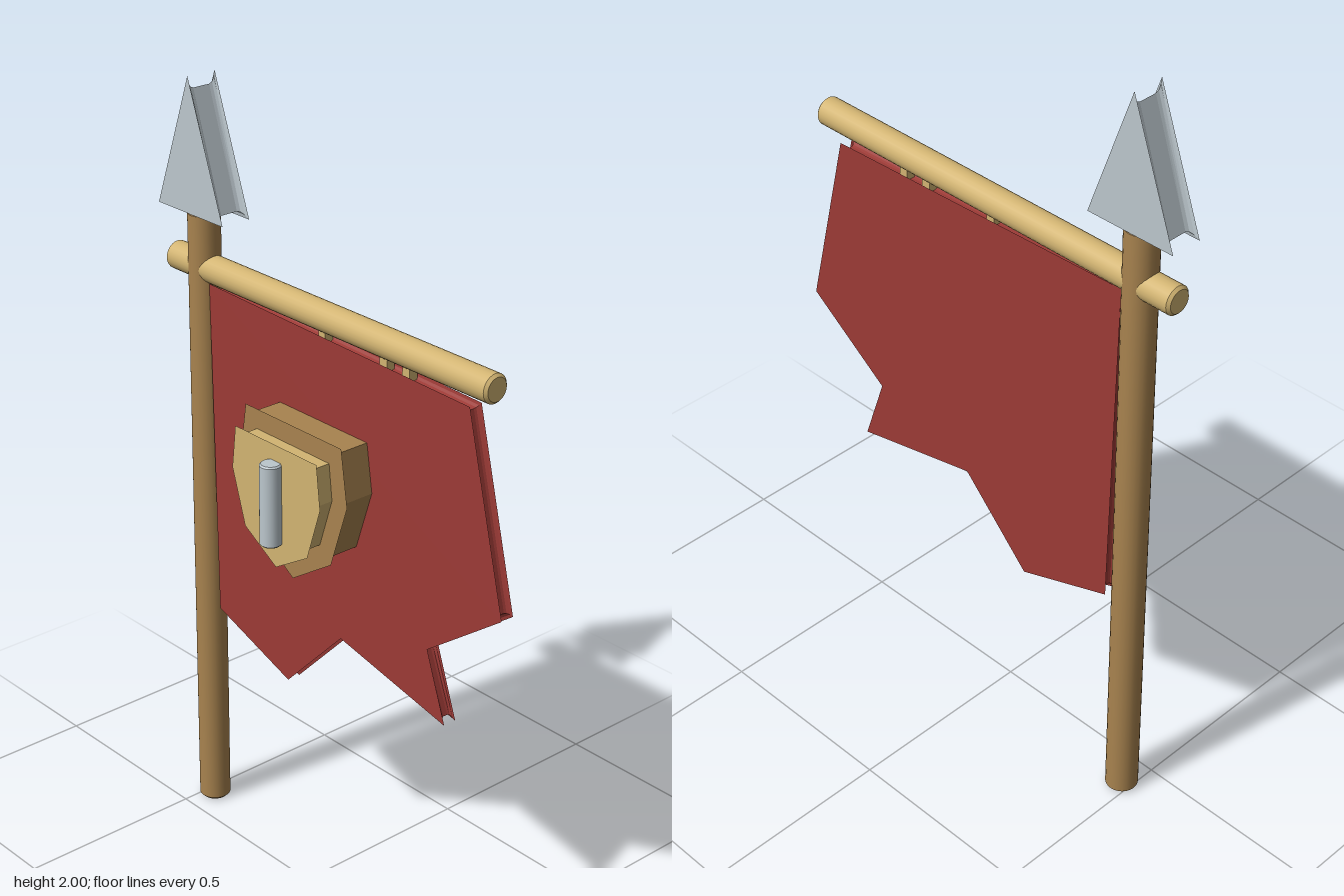
import * as THREE from 'three';

const mat = (name, color) => {
  const m = new THREE.MeshStandardMaterial({ color });
  m.name = name;
  return m;
};

export function createModel() {
  const group = new THREE.Group();
  const cloth = mat('red cloth', 0x9c3a36);
  const wood = mat('brown wood', 0xa8834f);
  const paleWood = mat('pale wood', 0xd2b472);
  const steel = mat('pale steel', 0xbcc7cd);
  const Z = -0.082; // plane of the pole, rod and cloth

  const add = (name, geometry, material, x, y, z) => {
    const mesh = new THREE.Mesh(geometry, material);
    mesh.name = name;
    mesh.position.set(x, y, z);
    group.add(mesh);
    return mesh;
  };

  // Plate from an outline whose rim flares out towards both faces
  const plate = (name, points, material, back, front, inset, rim) => {
    const shape = new THREE.Shape(points.map(([x, y]) => new THREE.Vector2(x, y)));
    const geometry = new THREE.ExtrudeGeometry(shape, {
      depth: front - back - 2 * rim, bevelEnabled: true,
      bevelThickness: rim, bevelSize: -inset, bevelSegments: 3,
    });
    return add(name, geometry, material, 0, 0, back + rim);
  };

  // Round bar with softened ends, standing along y
  const bar = (radius, length, soft) => {
    const h = length / 2;
    return new THREE.LatheGeometry([
      [0, -h], [radius - soft, -h], [radius - soft, -h], [radius, -h + soft], [radius, -h + soft],
      [radius, h - soft], [radius, h - soft], [radius - soft, h], [radius - soft, h], [0, h],
    ].map(([x, y]) => new THREE.Vector2(x, y)), 24);
  };

  // Upright pole and crossbar
  add('pole', bar(0.041, 1.665, 0.008), wood, -0.474, 0.8325, Z);
  add('crossbar', bar(0.036, 1.115, 0.007), paleWood, -0.028, 1.52, Z).rotation.z = -Math.PI / 2;

  // Spearhead
  plate('spearhead', [[-0.597, 1.66], [-0.353, 1.66], [-0.475, 2]], steel, Z - 0.041, Z + 0.041, 0.022, 0.017);

  // Torn banner cloth
  plate('banner', [
    [-0.436, 1.488], [-0.416, 0.6], [-0.147, 0.504], [0.05, 0.707],
    [0.416, 0.627], [0.352, 0.806], [0.588, 0.978], [0.466, 1.463],
  ], cloth, Z - 0.018, Z + 0.018, 0.015, 0.012);

  // Small ties holding the cloth to the crossbar
  for (const x of [-0.03, 0.18, 0.255]) {
    add('tie', new THREE.BoxGeometry(0.024, 0.045, 0.024), paleWood, x, 1.478, Z);
  }

  // Shield in two layers, mirrored about its centre line
  const shield = (name, top, side, low, bottom, material, back, front) => {
    const half = [top, side, low];
    const cx = -0.019;
    plate(name, [
      ...half.map(([x, y]) => [cx - x, y]), [cx, bottom],
      ...half.reverse().map(([x, y]) => [cx + x, y]),
    ], material, back, front, 0.018, 0.016);
  };
  shield('shieldBase', [0.17, 1.28], [0.192, 1.137], [0.137, 0.968], 0.879, wood, -0.09, 0.03);
  shield('shieldFace', [0.145, 1.247], [0.158, 1.135], [0.113, 0.995], 0.927, paleWood, -0.01, 0.083);

  // Upright steel pin on the shield
  add('shieldPin', bar(0.027, 0.212, 0.004), steel, -0.018, 1.1, 0.099);

  return group;
}
